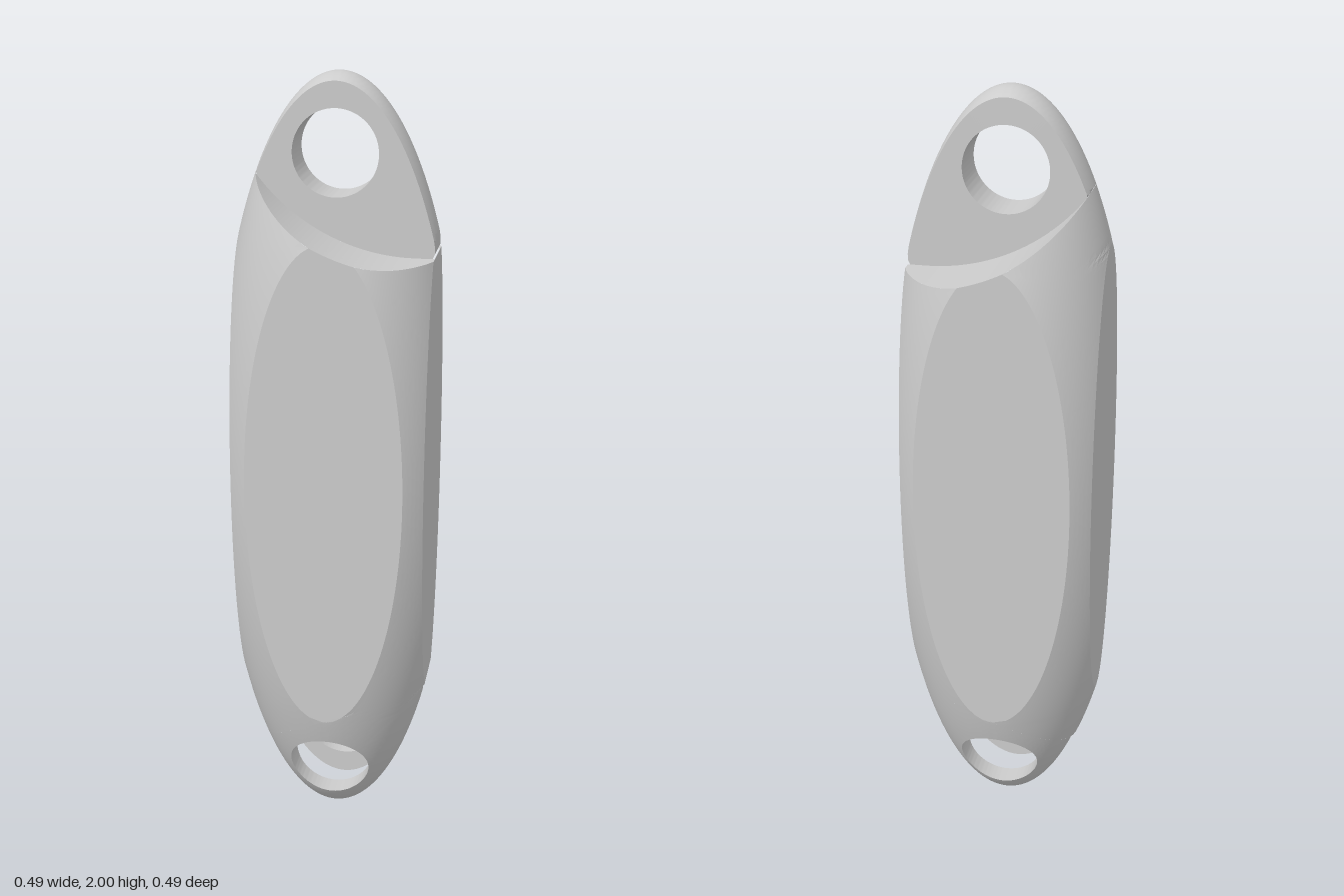
import * as THREE from 'three';
import { toCreasedNormals } from 'three/addons/utils/BufferGeometryUtils.js';

// Link: an ellipsoid of revolution trimmed by a square prism, tongue on top, fork below
const R = 0.318, B = 1.014, C = 0.986;      // ellipsoid radius, half height, centre height
const W = 0.247;                            // half width of the square prism
const TONGUE = 0.0615, SLOT = 0.075;        // half thickness of tongue, half width of fork slot
const HOLE = 0.107, TOP_HOLE = 1.81, LOW_HOLE = 0.17;

const radius = y => R * Math.sqrt(Math.max(0, 1 - ((y - C) / B) ** 2));
const arc = x => x > 0.2 ? 0.5 : Math.sqrt(Math.max(0, 0.25 - (x - 0.2) ** 2));
const shoulder = x => 2.06 - arc(x);        // curved floor beside the tongue
const slotRoof = x => -0.11 + arc(x);       // curved end of the fork slot
const inSolid = (x, y, z) => Math.abs(x) <= W && Math.abs(z) <= W + 1e-6 && x * x + z * z <= radius(y) ** 2;
const skinZ = (x, y) => Math.min(W, Math.sqrt(Math.max(0, radius(y) ** 2 - x * x)));

// Largest t in [lo, hi] for which test still holds
function reach(lo, hi, test) {
  for (let i = 0; i < 40; i++) {
    const m = (lo + hi) / 2;
    if (test(m)) lo = m; else hi = m;
  }
  return lo;
}

const material = new THREE.MeshStandardMaterial({ color: 0xcccccc });

// Surface from a grid of points; quads lying wholly on the surface y = skip(x) are left out
function gridMesh(name, ni, nj, point, flip = false, skip = null) {
  const p = [], out = [];
  for (let i = 0; i <= ni; i++) {
    p.push([]);
    for (let j = 0; j <= nj; j++) p[i].push(new THREE.Vector3(...point(i, j)));
  }
  const onCut = v => Math.abs(v.y - skip(v.x)) < 1e-4;
  const tri = (a, b, c) => {
    const area = b.clone().sub(a).cross(c.clone().sub(a)).length();
    if (area < 1e-10) return;
    for (const v of flip ? [a, c, b] : [a, b, c]) out.push(v.x, v.y, v.z);
  };
  for (let i = 0; i < ni; i++) for (let j = 0; j < nj; j++) {
    const a = p[i][j], b = p[i + 1][j], c = p[i][j + 1], d = p[i + 1][j + 1];
    if (skip && [a, b, c, d].every(onCut)) continue;
    tri(a, c, b);
    tri(b, c, d);
  }
  const geo = new THREE.BufferGeometry();
  geo.setAttribute('position', new THREE.Float32BufferAttribute(out, 3));
  const mesh = new THREE.Mesh(toCreasedNormals(geo, 0.2), material);
  mesh.name = name;
  return mesh;
}

// Main body: four flats joined by rounded corners, ending at the two curved cuts
function makeBody() {
  const FLAT = 4, ROUND = 8, OCT = FLAT + ROUND, ROWS = 110;
  const at = (i, y) => {
    const quarter = Math.floor(i / (2 * OCT)), k = i % (2 * OCT);
    const n = k <= OCT ? k : 2 * OCT - k;
    const r = radius(y), edge = Math.acos(Math.min(1, W / Math.max(r, 1e-6)));
    const a = n <= FLAT ? edge * n / FLAT : edge + (Math.PI / 4 - edge) * (n - FLAT) / ROUND;
    const t = quarter * Math.PI / 2 + (k <= OCT ? a : Math.PI / 2 - a);
    const d = Math.min(r, W / Math.max(Math.abs(Math.cos(t)), Math.abs(Math.sin(t))));
    return [d * Math.cos(t), y, d * Math.sin(t)];
  };
  const ends = [];
  for (let i = 0; i <= 8 * OCT; i++) ends.push([
    reach(C, 0, y => y > slotRoof(at(i, y)[0])),
    reach(C, 2, y => y < shoulder(at(i, y)[0])),
  ]);
  return gridMesh('body', 8 * OCT, ROWS, (i, j) => {
    const [lo, hi] = ends[i];
    return at(i, lo + (hi - lo) * j / ROWS);
  });
}

// Curved floor or roof strip between two z values
function makeCut(name, height, z0, z1, flip) {
  const NX = 40, NZ = 20;
  return gridMesh(name, NX, NZ, (i, j) => {
    const z = z0 + (z1 - z0) * j / NZ;
    const inside = x => inSolid(x, height(x), z);
    const left = reach(0.05, -0.4, inside), right = reach(0.05, 0.4, inside);
    const x = left + (right - left) * i / NX;
    return [x, height(x), z];
  }, flip);
}

// Distance from a hole centre to the edge of its lug at depth z
const edgeOf = (a, cy, z, keep) => reach(0, 0.6, d => {
  const x = d * Math.cos(a), y = cy + d * Math.sin(a);
  return inSolid(x, y, z) && keep(x, y);
});

const N = 180;
const angle = i => (i % N) / N * Math.PI * 2;
const polar = (a, cy, d, z) => [d * Math.cos(a), cy + d * Math.sin(a), z];

// Tongue: bore, front face, rounded rim, back face
function makeTongue() {
  const RIM = 12, keep = (x, y) => y >= shoulder(x);
  return gridMesh('tongue', N, RIM + 3, (i, j) => {
    const a = angle(i);
    if (j === 0 || j === RIM + 3) return polar(a, TOP_HOLE, HOLE, -TONGUE);
    if (j === 1) return polar(a, TOP_HOLE, HOLE, TONGUE);
    const z = TONGUE * (1 - 2 * (j - 2) / RIM);
    return polar(a, TOP_HOLE, edgeOf(a, TOP_HOLE, z, keep), z);
  }, false, shoulder);
}

// Fork cheek: bore, domed outer skin, side edge, flat inner face
function makeCheek(name, side) {
  const SKIN = 24, keep = (x, y) => y <= slotRoof(x);
  const outer = [];
  for (let i = 0; i <= N; i++) outer.push(edgeOf(angle(i), LOW_HOLE, SLOT, keep));
  return gridMesh(name, N, SKIN + 3, (i, j) => {
    const a = angle(i);
    if (j === 0 || j === SKIN + 3) return polar(a, LOW_HOLE, HOLE, side * SLOT);
    if (j === SKIN + 2) return polar(a, LOW_HOLE, outer[i], side * SLOT);
    const t = 1 - (1 - (j - 1) / SKIN) ** 2;
    const p = polar(a, LOW_HOLE, HOLE + (outer[i] - HOLE) * t, 0);
    p[2] = side * Math.max(SLOT, skinZ(p[0], p[1]));
    return p;
  }, side < 0, slotRoof);
}

export function createModel() {
  const model = new THREE.Group();
  model.name = 'link';
  model.add(makeBody(), makeTongue());
  for (const [label, s] of [['front', 1], ['back', -1]]) {
    model.add(makeCut(label + 'Shoulder', shoulder, s * TONGUE, s * W, s < 0));
    model.add(makeCheek(label + 'ForkCheek', s));
  }
  model.add(makeCut('slotRoof', slotRoof, -SLOT, SLOT, true));
  return model;
}
